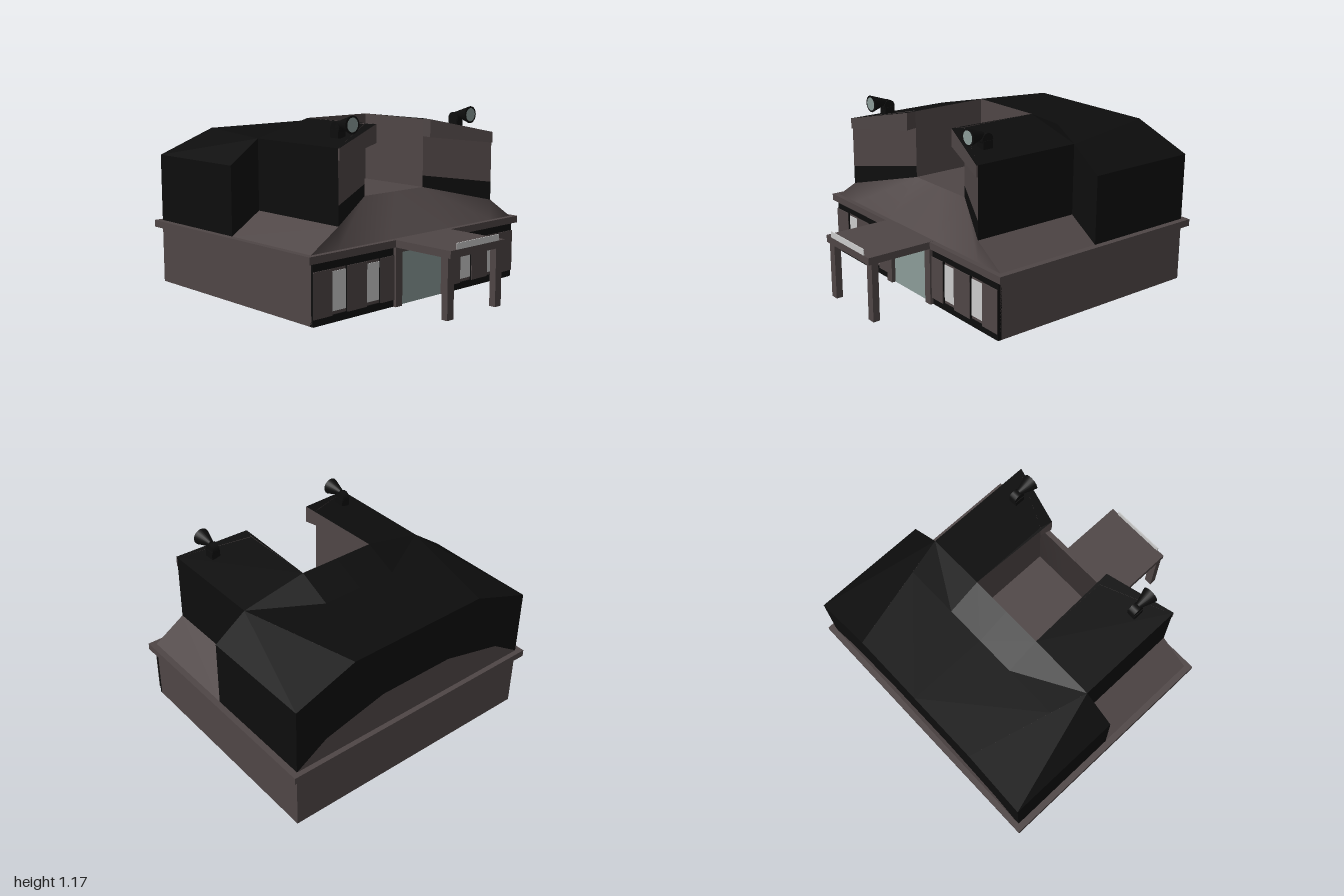
import * as THREE from 'three';
import { mergeVertices } from 'three/addons/utils/BufferGeometryUtils.js';

const mat = (color) => new THREE.MeshStandardMaterial({ color, side: THREE.DoubleSide });
const BROWN = mat(0x4f4646), BLACK = mat(0x0d0d0d), GLASS = mat(0x8b9c99), PANE = mat(0xcccccc);

export function createModel() {
  const model = new THREE.Group();

  const add = (name, geo, material, parent = model) => {
    const mesh = new THREE.Mesh(geo, material);
    mesh.name = name;
    parent.add(mesh);
    return mesh;
  };

  // Box given by its extents on each axis
  const box = (name, material, [x0, x1], [y0, y1], [z0, z1]) =>
    add(name, new THREE.BoxGeometry(x1 - x0, y1 - y0, z1 - z0), material)
      .position.set((x0 + x1) / 2, (y0 + y1) / 2, (z0 + z1) / 2);

  const mirroredBox = (name, material, xs, ys, [z0, z1]) => {
    box(name, material, xs, ys, [z0, z1]);
    box(name, material, xs, ys, [-z1, -z0]);
  };

  // Flat panels, each a loop of corners on the +z half, mirrored to the -z half
  const panels = (name, material, loops, smooth = false) => {
    const pos = [];
    for (const loop of loops) {
      for (let i = 1; i < loop.length - 1; i++) {
        const tri = [loop[0], loop[i], loop[i + 1]];
        tri.forEach((p) => pos.push(...p));
        tri.reverse().forEach(([x, y, z]) => pos.push(x, y, -z));
      }
    }
    let geo = new THREE.BufferGeometry();
    geo.setAttribute('position', new THREE.Float32BufferAttribute(pos, 3));
    if (smooth) geo = mergeVertices(geo);
    geo.computeVertexNormals();
    add(name, geo, material);
  };

  // Ground floor and cornice
  box('groundFloor', BROWN, [-0.965, 0.53], [0, 0.37], [-0.89, 0.89]);
  box('cornice', BROWN, [-1, 0.565], [0.37, 0.415], [-0.93, 0.93]);

  // Facade: dark bands, piers between recessed windows
  for (const ys of [[0, 0.045], [0.32, 0.37]])
    mirroredBox('facadeBand', BLACK, [0.52, 0.545], ys, [0.24, 0.89]);
  for (const zs of [[0.24, 0.36], [0.475, 0.63], [0.75, 0.89]]) {
    mirroredBox('pierCore', BLACK, [0.52, 0.55], [0.045, 0.32], zs);
    mirroredBox('pierFace', BROWN, [0.55, 0.555], [0.045, 0.32], zs);
  }
  for (const zs of [[0.36, 0.475], [0.63, 0.75]]) {
    mirroredBox('windowSurround', BROWN, [0.52, 0.536], [0.045, 0.32], zs);
    mirroredBox('window', PANE, [0.52, 0.54], [0.065, 0.3], [zs[0] + 0.001, zs[1] - 0.001]);
  }

  // Entrance and canopy
  box('door', GLASS, [0.52, 0.54], [0, 0.33], [-0.19, 0.19]);
  box('doorLintel', BROWN, [0.52, 0.55], [0.33, 0.37], [-0.19, 0.19]);
  mirroredBox('doorPilaster', BROWN, [0.52, 0.567], [0, 0.37], [0.19, 0.245]);
  box('canopy', BROWN, [0.54, 1], [0.37, 0.416], [-0.245, 0.245]);
  mirroredBox('canopyPost', BROWN, [0.935, 0.98], [0, 0.37], [0.19, 0.245]);
  box('blankSign', PANE, [0.994, 1], [0.416, 0.455], [-0.19, 0.19]);

  // Lower roof: side slopes, flat terrace and front apron
  panels('lowerRoof', BROWN, [
    [[-0.2, 0.415, 0.89], [0.53, 0.415, 0.89], [0.53, 0.55, 0.68], [-0.2, 0.55, 0.68]],
    [[-0.22, 0.655, 0], [-0.22, 0.655, 0.26], [0.31, 0.655, 0.26], [0.31, 0.655, 0]],
  ]);
  panels('frontApron', BROWN, [
    [[0.53, 0.415, 0.89], [0.53, 0.415, 0.68], [0.53, 0.55, 0.68]],
    [[0.53, 0.415, 0.68], [0.53, 0.415, 0.26], [0.31, 0.655, 0.26], [0.53, 0.55, 0.68]],
    [[0.53, 0.415, 0.26], [0.53, 0.415, 0], [0.31, 0.655, 0], [0.31, 0.655, 0.26]],
  ], true);

  // Rear upper storey
  panels('upperWalls', BLACK, [
    [[-0.965, 0.415, 0.89], [-0.2, 0.415, 0.89], [-0.2, 0.85, 0.89], [-0.965, 0.85, 0.89]],
    [[-0.2, 0.415, 0.89], [-0.2, 0.55, 0.68], [-0.2, 1, 0.68], [-0.2, 0.85, 0.89]],
    [[-0.965, 0.415, 0], [-0.965, 0.415, 0.89], [-0.965, 0.85, 0.89], [-0.965, 1, 0.48], [-0.965, 1, 0]],
  ]);
  panels('rearGable', BROWN, [
    [[-0.967, 0.415, 0], [-0.967, 0.415, 0.89], [-0.967, 0.55, 0.68], [-0.967, 0.655, 0.26], [-0.967, 0.655, 0]],
  ]);
  panels('upperRoof', BLACK, [
    [[-0.965, 0.85, 0.89], [-0.2, 0.85, 0.89], [-0.2, 1, 0.68], [-0.965, 1, 0.48]],
    [[-0.965, 1, 0], [-0.965, 1, 0.48], [-0.44, 1, 0.617], [-0.44, 1, 0]],
    [[-0.44, 1, 0.26], [-0.44, 1, 0.617], [-0.2, 1, 0.68], [-0.22, 1.1, 0.26]],
    [[-0.44, 1, 0], [-0.44, 1, 0.26], [-0.22, 1.1, 0.26], [-0.22, 1.1, 0]],
  ]);

  // Two front wings around the open terrace
  panels('wingRoof', BLACK, [
    [[-0.22, 1.1, 0.26], [-0.2, 1, 0.68], [0.54, 1, 0.68], [0.39, 1.1, 0.24], [0.31, 1.1, 0.26]],
  ]);
  panels('wingOuterWall', BLACK, [
    [[-0.2, 0.55, 0.68], [0.53, 0.55, 0.68], [0.53, 1, 0.68], [-0.2, 1, 0.68]],
    [[0.53, 0.55, 0.68], [0.31, 0.655, 0.26], [0.31, 0.73, 0.26], [0.53, 0.67, 0.68]],
  ]);
  panels('terraceWalls', BROWN, [
    [[-0.22, 0.655, 0], [-0.22, 0.655, 0.26], [-0.22, 1.1, 0.26], [-0.22, 1.1, 0]],
    [[-0.22, 0.655, 0.26], [0.31, 0.655, 0.26], [0.31, 1.1, 0.26], [-0.22, 1.1, 0.26]],
    [[0.53, 0.67, 0.68], [0.31, 0.73, 0.26], [0.31, 1.1, 0.26], [0.53, 1, 0.68]],
  ]);
  panels('wingFascia', BROWN, [
    [[0.54, 0.93, 0.68], [0.39, 0.985, 0.24], [0.39, 1.1, 0.24], [0.54, 1, 0.68]],
    [[0.39, 0.985, 0.24], [0.31, 0.985, 0.26], [0.31, 1.1, 0.26], [0.39, 1.1, 0.24]],
    [[0.53, 0.93, 0.68], [0.31, 0.985, 0.26], [0.39, 0.985, 0.24], [0.54, 0.93, 0.68]],
    [[0.53, 0.93, 0.68], [0.54, 0.93, 0.68], [0.54, 1, 0.68], [0.53, 1, 0.68]],
  ]);

  // Roof spotlights facing the entrance side
  for (const side of [-1, 1]) {
    const lamp = new THREE.Group();
    lamp.name = 'spotlight';
    lamp.position.set(0, 0, side * 0.522);
    const base = add('lampBase', new THREE.BoxGeometry(0.07, 0.05, 0.06), BLACK, lamp);
    base.position.set(0.355, 1.06, 0);
    const pivot = add('lampPivot', new THREE.CylinderGeometry(0.04, 0.04, 0.05, 16), BLACK, lamp);
    pivot.rotation.x = Math.PI / 2;
    pivot.position.set(0.355, 1.09, 0);
    const horn = add('lampHorn', new THREE.CylinderGeometry(0.055, 0.018, 0.11, 20), BLACK, lamp);
    horn.rotation.z = -Math.PI / 2;
    horn.position.set(0.425, 1.118, 0);
    const lens = add('lampLens', new THREE.CircleGeometry(0.043, 20), GLASS, lamp);
    lens.rotation.y = Math.PI / 2;
    lens.position.set(0.482, 1.118, 0);
    model.add(lamp);
  }

  return model;
}
